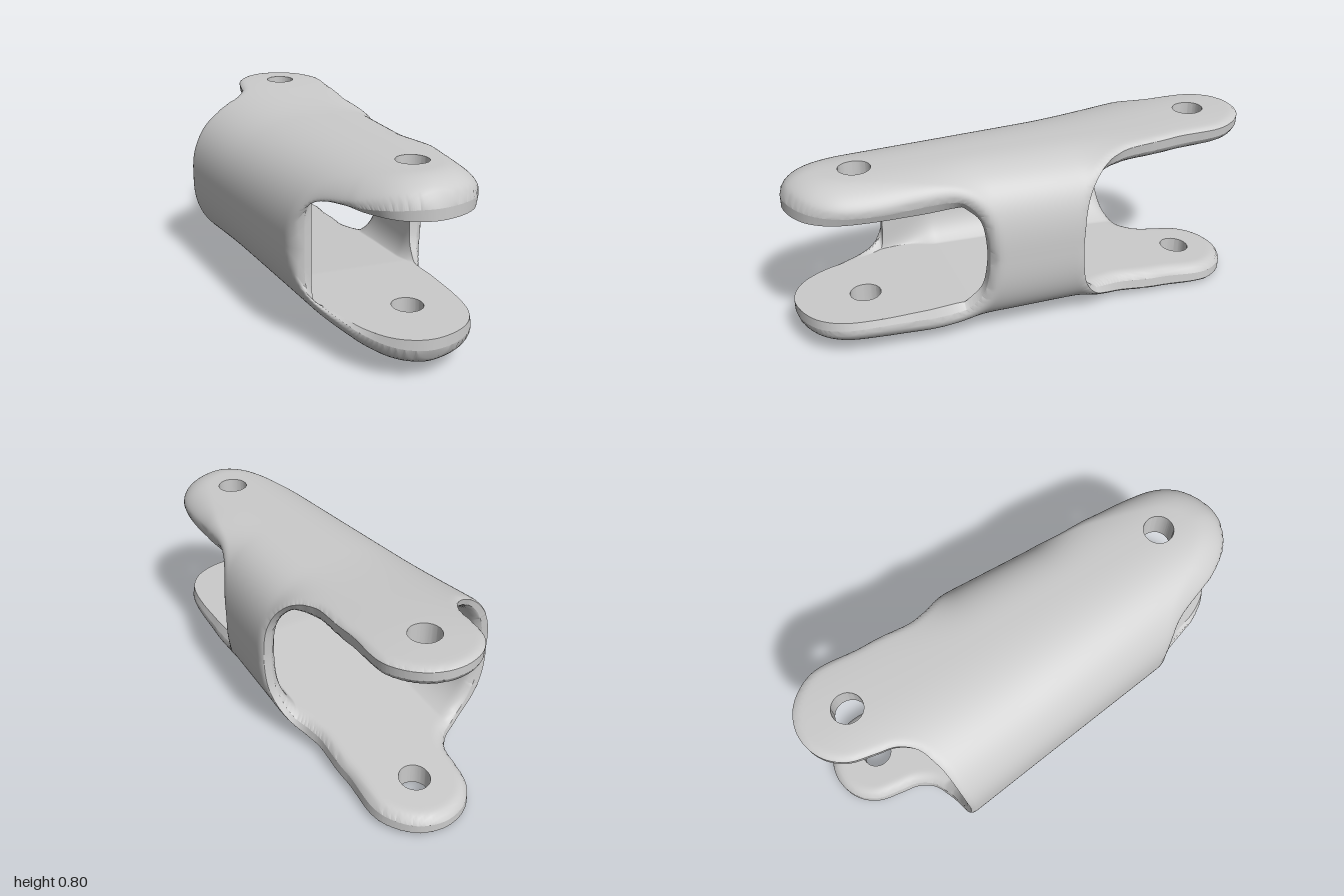
import * as THREE from 'three';
import { mergeVertices } from 'three/addons/utils/BufferGeometryUtils.js';

const MID_Y = 0.402, CX = 0.1;
const ramp = (z, from, to) => {
  const t = Math.min(1, Math.max(0, (z - from) / (to - from)));
  return t * t * (3 - 2 * t);
};
const lerp = THREE.MathUtils.lerp;

// Half widths of the tube either side of the pin axis
const halfRight = z => 0.322 - 0.05 * z + 0.26 * ramp(z, -0.15, -0.6) + 0.09 * ramp(z, 0.22, 0.52);
const halfLeft = z => CX + 0.37 - 0.109 * z;
const halfWidth = (q, z) => (q > 0 ? halfRight(z) : halfLeft(z));

// Outer and inner skin of the upper half; a = 0 is the +x wall, a = PI the -x wall
function outerPoint(a, z) {
  const q = Math.cos(a), n = q > 0 ? 2.7 : 2.45;
  const b = 0.36 + 0.04 * ramp(z, -0.1, -0.9);
  const y = b * Math.max(0, 1 - Math.abs(q) ** n) ** (1 / n);
  return new THREE.Vector3(CX + halfWidth(q, z) * q, y, z);
}
// The inside is a barrel with flat caps under the lugs
function innerPoint(a, z) {
  const q = Math.cos(a);
  const m = 2.6 + 0.5 * ramp(z, -0.6, 0) + 7 * ramp(z, 0.3, 0.6);
  const cap = 0.222 + 0.1 * Math.min(1, Math.max(0, (0.3 - z) / 1.3));
  const barrel = (cap + 0.04) * Math.max(0, 1 - Math.abs(q) ** m) ** (1 / m);
  return new THREE.Vector3(CX + halfWidth(q, z) * q - 0.075 * q * Math.abs(q), Math.min(cap, barrel), z);
}

// Rim curves, given as x, z seen from above
const rearRim = [[0.5, -0.15], [0.42, -0.162], [0.4, -0.187], [0.375, -0.225], [0.345, -0.275], [0.32, -0.33],
  [0.303, -0.42], [0.308, -0.6], [0.319, -0.79], [0.288, -0.89], [0.21, -0.97], [0.1, -1], [-0.01, -0.97],
  [-0.085, -0.89], [-0.113, -0.78], [-0.13, -0.7], [-0.18, -0.635], [-0.25, -0.605], [-0.33, -0.585], [-0.6, -0.565]];
const frontRim = [[-0.6, 0.55], [-0.3, 0.565], [-0.265, 0.62], [-0.215, 0.76], [-0.187, 0.83], [-0.12, 0.92],
  [-0.04, 0.975], [0.06, 1], [0.17, 0.975], [0.265, 0.915], [0.327, 0.82], [0.352, 0.68], [0.356, 0.5],
  [0.356, 0.4], [0.366, 0.335], [0.386, 0.288], [0.402, 0.262], [0.5, 0.245]];
const pinHoles = [-0.785, 0.71], HOLE_R = 0.065;

// Rim curve in unrolled coordinates (angle, z)
function unroll(points) {
  const flat = points.map(([x, z]) => {
    const q = (x - CX) / halfWidth(x - CX, z);
    return new THREE.Vector2(Math.acos(Math.min(1, Math.max(-1, q))), z);
  });
  return new THREE.SplineCurve(flat).getPoints(140);
}

function insideOutline(poly, a, z) {
  let inside = false;
  for (let i = 0, j = poly.length - 1; i < poly.length; j = i++) {
    const p = poly[i], r = poly[j];
    if ((p.y > z) !== (r.y > z) && a < ((r.x - p.x) * (z - p.y)) / (r.y - p.y) + p.x) inside = !inside;
  }
  return inside;
}

function distanceTo(lines, p) {
  const near = new THREE.Vector3();
  let best = Infinity;
  for (const line of lines) {
    line.closestPointToPoint(p, true, near);
    best = Math.min(best, near.distanceToSquared(p));
  }
  return Math.sqrt(best);
}

// Skin pair at a sample, with the rim rounded on the outside in front and inside at the rear
function skinPair([a, z, , dFront, dRear]) {
  const o = outerPoint(a, z), i = innerPoint(a, z);
  const round = (d, r) => 1 - Math.sqrt(Math.max(0, 1 - Math.max(0, 1 - d / r) ** 2));
  const frontPull = lerp(0.5, 0.68, ramp(z, 0.3, 0.7)) * round(dFront, 0.05 + 0.1 * ramp(z, 0.35, 0.8));
  const pullOut = Math.min(0.8, frontPull + 0.15 * round(dRear, 0.035));
  const pullIn = 0.4 * round(dRear, 0.05);
  return { o: o.clone().lerp(i, pullOut), i: i.clone().lerp(o, pullIn) };
}

export function createModel() {
  const rear = unroll(rearRim), front = unroll(frontRim);
  const V = (x, y) => new THREE.Vector2(x, y);
  const outline = [V(-0.1, rear[0].y), ...rear, V(Math.PI + 0.1, rear.at(-1).y),
    V(Math.PI + 0.1, front[0].y), ...front, V(-0.1, front.at(-1).y)];
  const toLines = pts => pts.slice(1).map((p, k) =>
    new THREE.Line3(outerPoint(pts[k].x, pts[k].y), outerPoint(p.x, p.y)));
  const rearLines = toLines(rear), frontLines = toLines(front);

  // Sample grid: angle, z, trim value, distance to front rim, distance to rear rim
  const NA = 130, NZ = 124;
  const grid = [];
  for (let i = 0; i <= NA; i++) {
    for (let j = 0; j <= NZ; j++) {
      const a = (Math.PI * i) / NA, z = -1.02 + (2.04 * j) / NZ;
      const p = outerPoint(a, z);
      const dF = distanceTo(frontLines, p), dR = distanceTo(rearLines, p);
      const inside = insideOutline(outline, a, z);
      let f = Math.min(dF, dR) * (inside ? 1 : -1);
      for (const hz of pinHoles) {
        if (p.y > 0.1) f = Math.min(f, Math.hypot(p.x - CX, z - hz) - HOLE_R);
      }
      // signed distances, so trimmed edges interpolate to zero
      grid.push([a, z, f, inside || dF > dR ? dF : -dF, inside || dR > dF ? dR : -dR]);
    }
  }

  // Trim each triangle and build both skins and the rim between them, mirrored in y
  const soup = { outerShell: [], innerShell: [], rim: [] };
  const addTri = (list, a, b, c) => {
    for (const p of [a, b, c]) list.push(p.x, MID_Y + p.y, p.z);
    for (const p of [a, c, b]) list.push(p.x, MID_Y - p.y, p.z);
  };
  const cutTriangle = tri => {
    const poly = [];
    let exit = null, entry = null;
    tri.forEach((p, k) => {
      const n = tri[(k + 1) % 3];
      if (p[2] > 0) poly.push(skinPair(p));
      if ((p[2] > 0) !== (n[2] > 0)) {
        // always interpolate from the inner end so neighbours match
        const [s, e] = p[2] > 0 ? [p, n] : [n, p];
        const t = s[2] / (s[2] - e[2]);
        const cut = skinPair(s.map((v, m) => lerp(v, e[m], t)));
        poly.push(cut);
        if (p[2] > 0) exit = cut; else entry = cut;
      }
    });
    for (let k = 1; k + 1 < poly.length; k++) {
      addTri(soup.outerShell, poly[0].o, poly[k].o, poly[k + 1].o);
      addTri(soup.innerShell, poly[0].i, poly[k + 1].i, poly[k].i);
    }
    if (exit && entry) {
      addTri(soup.rim, exit.i, entry.i, entry.o);
      addTri(soup.rim, exit.i, entry.o, exit.o);
    }
  };
  const at = (i, j) => grid[i * (NZ + 1) + j];
  for (let i = 0; i < NA; i++) {
    for (let j = 0; j < NZ; j++) {
      cutTriangle([at(i, j), at(i + 1, j), at(i + 1, j + 1)]);
      cutTriangle([at(i, j), at(i + 1, j + 1), at(i, j + 1)]);
    }
  }

  const group = new THREE.Group();
  group.name = 'clevisLink';
  const material = new THREE.MeshStandardMaterial({ color: 0xcccccc });
  for (const [name, positions] of Object.entries(soup)) {
    let geometry = new THREE.BufferGeometry();
    geometry.setAttribute('position', new THREE.Float32BufferAttribute(positions, 3));
    // the coarse tolerance welds slivers left along the trimmed edges
    geometry = mergeVertices(geometry, 8e-4);
    geometry.computeVertexNormals();
    const mesh = new THREE.Mesh(geometry, material);
    mesh.name = name;
    group.add(mesh);
  }
  return group;
}
